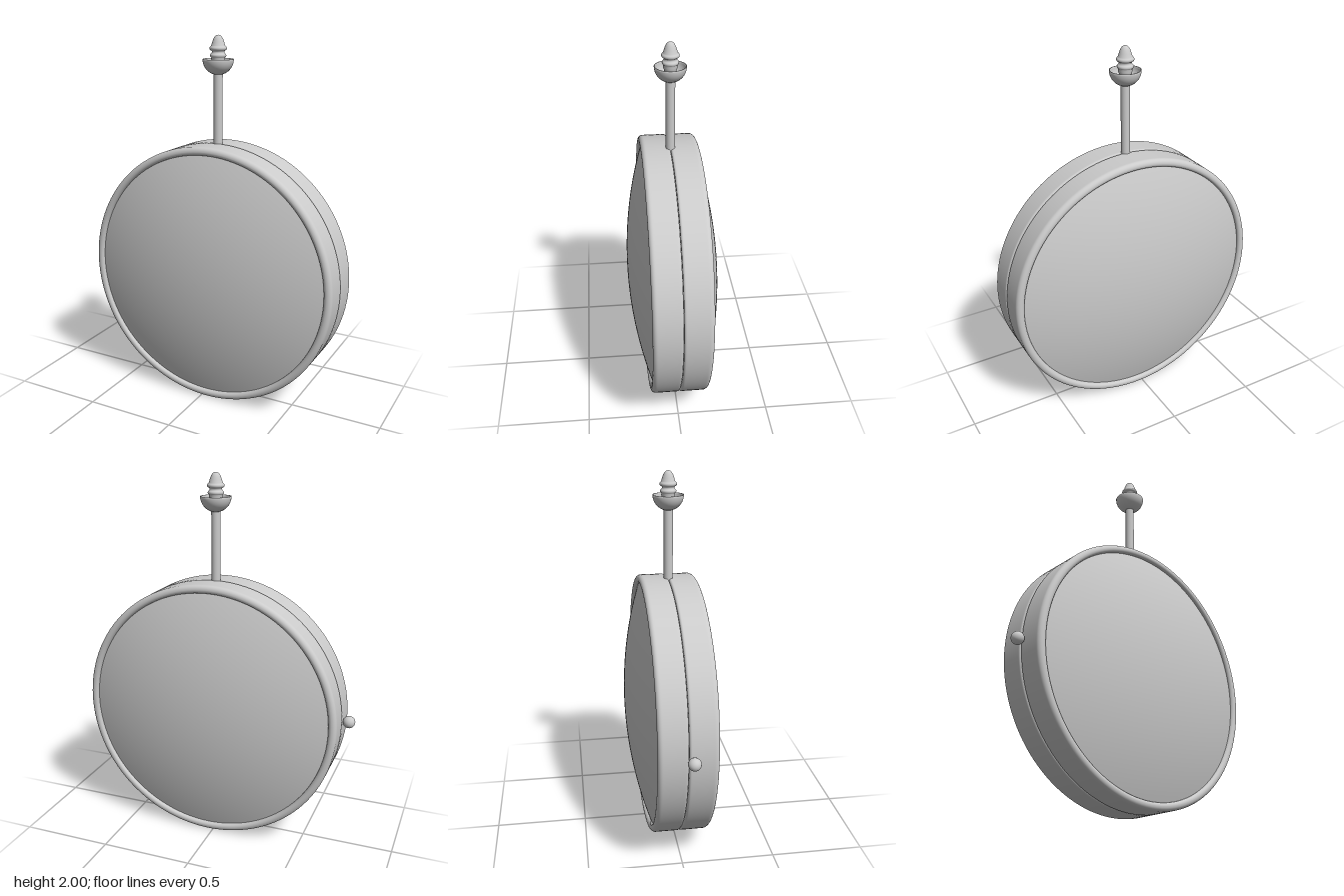
import * as THREE from 'three';

const CX = 0.03, CY = 0.722, R = 0.718;
const material = new THREE.MeshStandardMaterial({ color: 0xcccccc });
const openMaterial = new THREE.MeshStandardMaterial({ color: 0xcccccc, side: THREE.DoubleSide });

function add(parent, name, geometry, x = 0, y = 0, z = 0, mat = material) {
  const mesh = new THREE.Mesh(geometry, mat);
  mesh.name = name;
  mesh.position.set(x, y, z);
  parent.add(mesh);
  return mesh;
}

// Points of an arc in the profile plane, angles in degrees
function arc(cx, cy, r, from, to, steps = 8) {
  return Array.from({ length: steps + 1 }, (_, i) => {
    const a = THREE.MathUtils.degToRad(from + (to - from) * i / steps);
    return new THREE.Vector2(Math.max(0, cx + r * Math.cos(a)), cy + r * Math.sin(a));
  });
}

const v = (x, y) => new THREE.Vector2(x, y);

// One half of the round case, its open side towards +y before turning
function createHalf(name) {
  const half = new THREE.Group();
  half.name = name;

  // Rim with a small round at the seam and a fuller round at the lip
  const rim = [
    v(0.69, 0.001),
    ...arc(R - 0.012, 0.013, 0.012, -90, 0, 5),
    v(R, 0.02), v(R, 0.122),
    ...arc(R - 0.024, 0.128, 0.024, 0, 90),
    ...arc(R - 0.026, 0.134, 0.018, 90, 180, 6),
    v(0.674, 0.11),
  ];
  add(half, 'rim', new THREE.LatheGeometry(rim, 128));

  // Shallow domed face
  const domeR = 2.11, edge = THREE.MathUtils.radToDeg(Math.acos(0.678 / domeR));
  add(half, 'domedFace', new THREE.LatheGeometry(arc(0, 0.244 - domeR, domeR, edge, 90, 24), 128));
  return half;
}

export function createModel() {
  const model = new THREE.Group();
  model.name = 'roundCaseOnRod';

  for (const side of [1, -1]) {
    const half = createHalf(side > 0 ? 'frontHalf' : 'backHalf');
    half.rotation.x = side * Math.PI / 2;
    half.position.set(CX, CY, 0);
    model.add(half);
  }

  // Side knob
  add(model, 'sideKnob', new THREE.SphereGeometry(0.033, 32, 20), -0.72, 0.726, 0.02);

  // Hanging rod
  add(model, 'rod', new THREE.CylinderGeometry(0.024, 0.024, 0.42, 32), CX, 1.62, 0);

  // Open cup
  const cup = [...arc(0, 1.879, 0.081, -90, 0, 14), ...arc(0, 1.879, 0.076, 0, -90, 14)];
  add(model, 'cup', new THREE.LatheGeometry(cup, 48), CX, 0, 0, openMaterial);

  // Turned finial with two beads and a pointed tip
  const finial = [
    v(0.022, 1.80), v(0.024, 1.835), v(0.032, 1.862), v(0.036, 1.878),
    ...arc(0.031, 1.897, 0.011, -70, 70, 6),
    v(0.032, 1.913), v(0.032, 1.919),
    ...arc(0.034, 1.933, 0.011, -70, 60, 6),
    v(0.036, 1.947), v(0.031, 1.963), v(0.025, 1.98),
    ...arc(0, 1.977, 0.023, 25, 90, 6),
  ];
  add(model, 'finial', new THREE.LatheGeometry(finial, 40), CX, 0, 0);

  return model;
}
